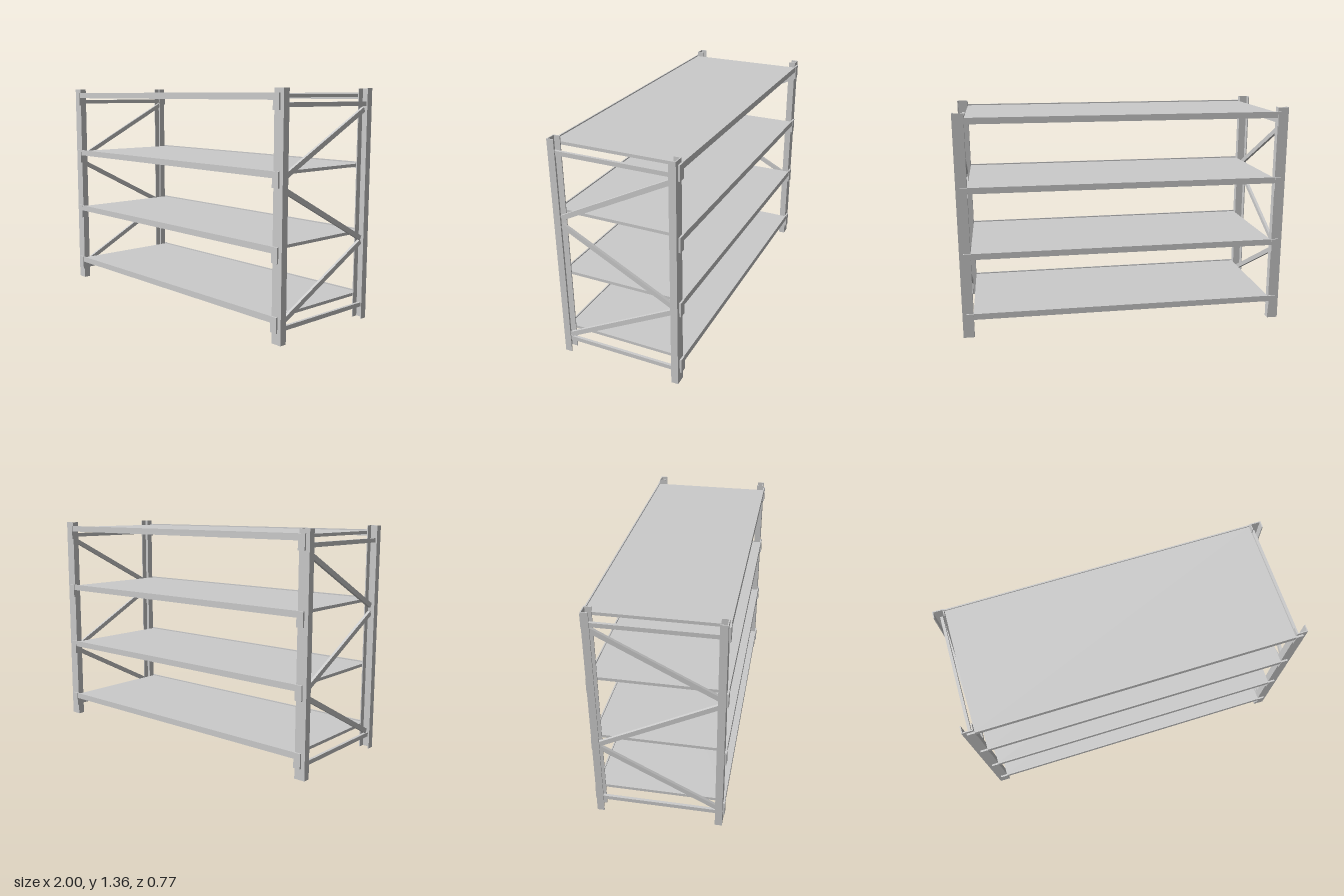
import * as THREE from 'three';

const material = new THREE.MeshStandardMaterial({ color: 0xcccccc, flatShading: true });

function add(parent, name, geometry, x, y, z) {
  const mesh = new THREE.Mesh(geometry, material);
  mesh.name = name;
  mesh.position.set(x, y, z);
  parent.add(mesh);
  return mesh;
}
const box = (w, h, d) => new THREE.BoxGeometry(w, h, d);

// Upright: a U channel, web on the outside, open toward the middle of the rack
function postGeometry(height, width, depth, wall) {
  const w = width / 2;
  const points = [
    [-w, 0], [w, 0], [w, depth], [w - wall, depth],
    [w - wall, wall], [-w + wall, wall], [-w + wall, depth], [-w, depth],
  ].map(([x, y]) => new THREE.Vector2(x, y));
  const geometry = new THREE.ExtrudeGeometry(new THREE.Shape(points), {
    depth: height, bevelEnabled: false,
  });
  return geometry.rotateX(-Math.PI / 2);
}

export function createModel() {
  const rack = new THREE.Group();
  rack.name = 'shelvingRack';

  const height = 1.36;
  const postFace = 0.373;
  const postX = 0.967;
  const post = postGeometry(height, 0.066, 0.042, 0.006);

  // End frames: two uprights, two horizontal rails and three zigzag diagonals
  for (const side of [-1, 1]) {
    const frame = new THREE.Group();
    frame.name = side > 0 ? 'leftEndFrame' : 'rightEndFrame';
    rack.add(frame);

    add(frame, 'frontPost', post, side * postX, 0, postFace);
    add(frame, 'backPost', post, side * postX, 0, -postFace).rotation.y = Math.PI;

    const braceX = side * 0.964;
    for (const y of [0.0775, 1.2725]) {
      add(frame, 'horizontalBrace', box(0.017, 0.025, 0.73), braceX, y, 0);
    }
    // Each diagonal: height at the front and at the back, z = +-0.33
    for (const [front, back] of [[0.111, 0.457], [0.833, 0.492], [0.893, 1.233]]) {
      const length = Math.hypot(0.66, back - front) + 0.03;
      const brace = add(frame, 'diagonalBrace', box(0.017, 0.029, length),
        braceX, (front + back) / 2, 0);
      brace.rotation.x = Math.atan2(back - front, 0.66);
    }
  }

  // Shelf levels: panel, front and back beams, end brackets on the posts
  for (const top of [0.153, 0.532, 0.931, 1.335]) {
    const level = new THREE.Group();
    level.name = 'shelfLevel';
    rack.add(level);

    add(level, 'shelfPanel', box(1.868, 0.018, 2 * postFace), 0, top - 0.016, 0);
    for (const face of [-1, 1]) {
      add(level, 'beam', box(1.95, 0.037, 0.008), 0, top - 0.0185, face * (postFace + 0.004));
      for (const side of [-1, 1]) {
        add(level, 'beamBracket', box(0.043, 0.088, 0.011),
          side * 0.9545, top - 0.044, face * (postFace + 0.0055));
      }
    }
  }

  return rack;
}
